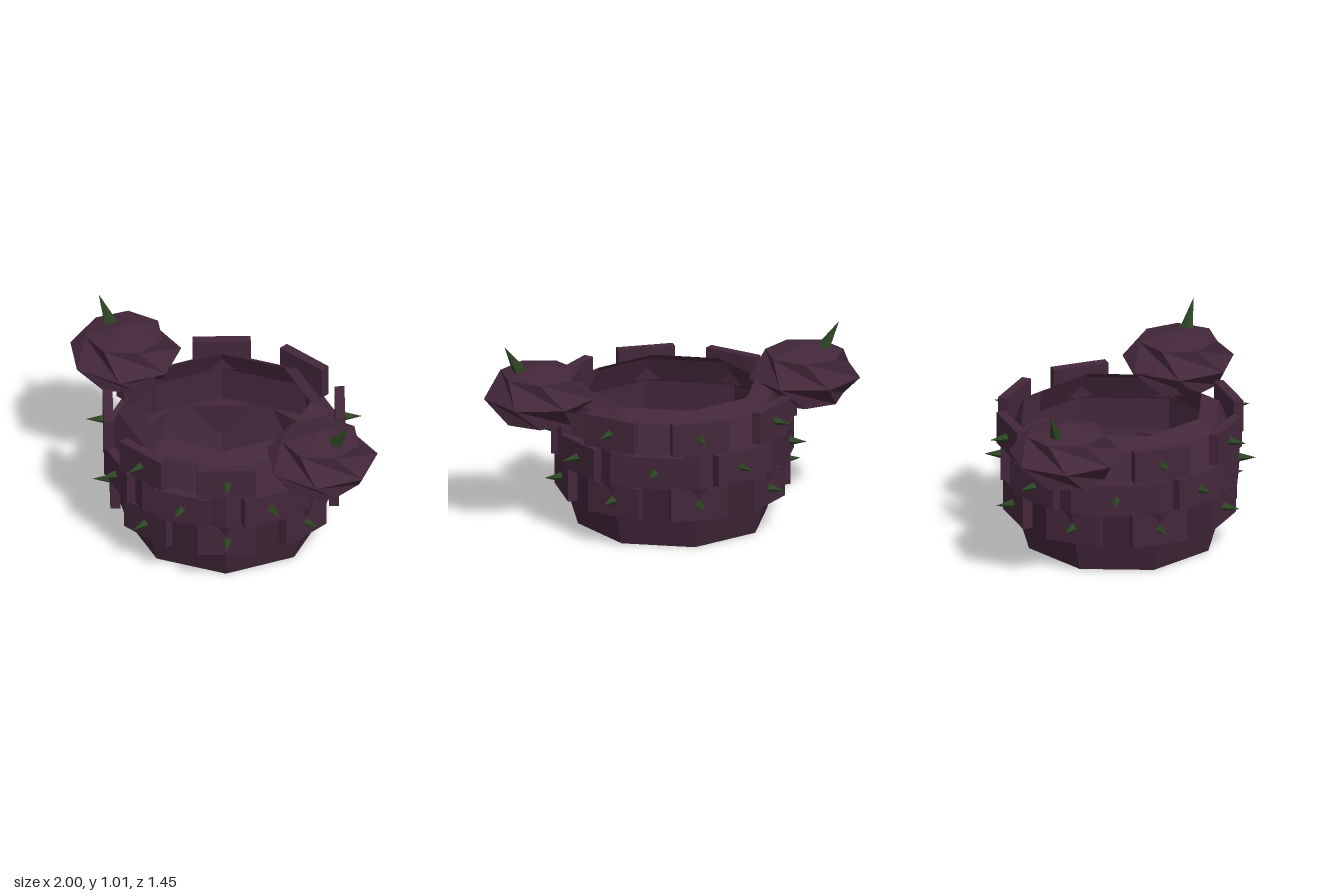
import * as THREE from 'three';

const plum = new THREE.MeshStandardMaterial({ color: 0x43273a, flatShading: true, side: THREE.DoubleSide });
plum.name = 'dark plum';
const green = new THREE.MeshStandardMaterial({ color: 0x2d4224, flatShading: true });
green.name = 'dark green';

function add(parent, name, geometry, material, x = 0, y = 0, z = 0) {
  const mesh = new THREE.Mesh(geometry, material);
  mesh.name = name;
  mesh.position.set(x, y, z);
  parent.add(mesh);
  return mesh;
}

// Faceted knob: seven-sided rings, each twisted against the next to fold the faces
function knobGeometry() {
  const n = 7, step = (Math.PI * 2) / n;
  const rings = [[0, 0.17, 1.5], [0.21, 0.122, 1.5], [0.3, 0, 0], [0.21, -0.125, -1.5], [0, -0.17, -1.5]];
  const point = ([r, y, twist], i) => {
    const a = (i + twist) * step;
    return [r * Math.cos(a), y, r * Math.sin(a)];
  };
  const pos = [];
  for (let k = 0; k < rings.length - 1; k++) {
    const up = rings[k], low = rings[k + 1];
    for (let i = 0; i < n; i++) {
      const a = point(up, i), b = point(up, i + 1), c = point(low, i + 1), d = point(low, i);
      if (up[0] > 0) pos.push(...a, ...b, ...c);
      if (low[0] > 0) pos.push(...a, ...c, ...d);
    }
  }
  const g = new THREE.BufferGeometry();
  g.setAttribute('position', new THREE.Float32BufferAttribute(pos, 3));
  g.computeVertexNormals();
  return g;
}

export function createModel() {
  const model = new THREE.Group();
  model.name = 'spikedArmour';

  // Open eight-sided shell
  const body = new THREE.Group();
  body.name = 'body';
  body.position.x = -0.016;
  model.add(body);
  const profile = [[0.51, 0], [0.62, 0.36], [0.62, 0.54], [0.555, 0.685], [0.455, 0.74]]
    .map(([r, y]) => new THREE.Vector2(r, y));
  add(body, 'shell', new THREE.LatheGeometry(profile, 8), plum);

  // Three staggered rows of plates, each with a short spike
  const plate = new THREE.BoxGeometry(0.305, 0.174, 0.052);
  const stud = new THREE.ConeGeometry(0.028, 0.1, 4).rotateX(Math.PI / 2);
  const rows = [
    { y: 0.267, outer: 0.6, turn: 0 },
    { y: 0.453, outer: 0.622, turn: 0.5 },
    { y: 0.645, outer: 0.635, turn: 0 },
  ];
  rows.forEach(({ y, outer, turn }, row) => {
    for (let i = 0; i < 8; i++) {
      const unit = new THREE.Group();
      unit.name = `plateRow${row + 1}`;
      unit.rotation.y = ((i + turn) * Math.PI) / 4;
      add(unit, 'plate', plate, plum, 0, y, outer - 0.026);
      add(unit, 'plateSpike', stud, green, 0, y, outer + 0.042);
      body.add(unit);
    }
  });

  // Shoulder knobs with one large tilted spike each
  const knob = knobGeometry();
  const horn = new THREE.ConeGeometry(0.045, 0.2, 5);
  for (const side of [1, -1]) {
    const shoulder = new THREE.Group();
    shoulder.name = side > 0 ? 'leftShoulder' : 'rightShoulder';
    shoulder.position.set(side > 0 ? 0.7 : -0.73, 0.73, 0.01);
    add(shoulder, 'shoulderKnob', knob, plum);
    const spike = add(shoulder, 'shoulderSpike', horn, green, side * 0.138, 0.192, 0);
    spike.rotation.z = -side * 0.53;
    model.add(shoulder);
  }
  return model;
}
